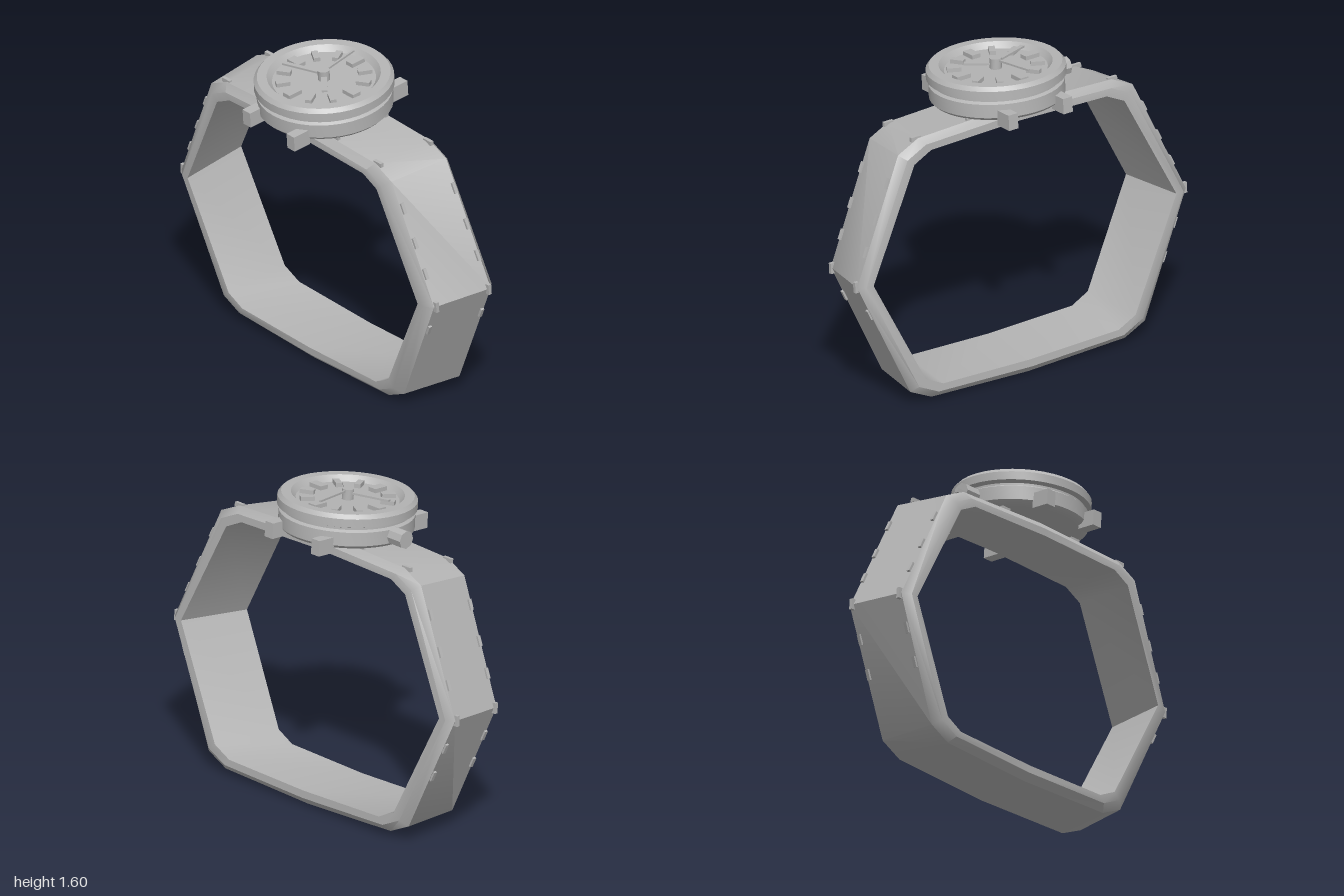
import * as THREE from 'three';
import { toCreasedNormals } from 'three/addons/utils/BufferGeometryUtils.js';

// Strap loop half-profiles (first quadrant): tip, shoulder, corner, middle
const OUTER = [[0.96, 0], [0.685, 0.615], [0.565, 0.672], [0, 0.692]];
const INNER = [[0.88, 0], [0.61, 0.555], [0.51, 0.605], [0, 0.618]];
const CASE_X = -0.025;

// The strap widens towards the back and leans a little sideways
function warp(x, y, z) {
  return new THREE.Vector3(CASE_X + x * (1 - 0.16 * z) - 0.05 * z, y * (1 - 0.08 * z), z);
}

// Mirrors a quadrant into a closed counter-clockwise loop
function fullLoop(q) {
  const upper = [...q, ...q.slice(0, 3).reverse().map(([x, y]) => [-x, y])];
  return [...upper, ...upper.slice(1, -1).reverse().map(([x, y]) => [x, -y])];
}

function strapGeometry() {
  const inner = fullLoop(INNER), outer = fullLoop(OUTER);
  // section corners: blend from inner to outer, depth
  const section = [[0, -0.19], [0, 0.19], [0.52, 0.19], [1, 0.157], [1, -0.157], [0.52, -0.19]];
  const pos = [], index = [], n = inner.length, m = section.length;
  inner.forEach(([ix, iy], i) => {
    const [ox, oy] = outer[i];
    for (const [t, z] of section) {
      pos.push(...warp(ix + (ox - ix) * t, iy + (oy - iy) * t, z).toArray());
    }
  });
  for (let i = 0; i < n; i++) {
    for (let j = 0; j < m; j++) {
      const a = i * m + j, b = i * m + (j + 1) % m;
      const c = ((i + 1) % n) * m + j, d = ((i + 1) % n) * m + (j + 1) % m;
      index.push(a, b, c, b, d, c);
    }
  }
  const g = new THREE.BufferGeometry();
  g.setAttribute('position', new THREE.Float32BufferAttribute(pos, 3));
  g.setIndex(index);
  return toCreasedNormals(g, 0.7);
}

export function createModel() {
  const grey = new THREE.MeshStandardMaterial({ color: 0xb4b4b4 });
  grey.name = 'grey';
  const model = new THREE.Group();
  model.name = 'wristwatch';

  const add = (parent, name, geometry, x = 0, y = 0, z = 0) => {
    const mesh = new THREE.Mesh(geometry, grey);
    mesh.name = name;
    mesh.position.set(x, y, z);
    parent.add(mesh);
    return mesh;
  };
  const box = (w, h, d) => new THREE.BoxGeometry(w, h, d);

  const body = new THREE.Group();
  body.name = 'body';
  body.position.set(0, 0.7, -0.06);
  body.rotation.set(0.075, -0.09, 0);
  model.add(body);

  // Strap and its stitches
  add(body, 'strap', strapGeometry());
  const stitches = new THREE.Group();
  stitches.name = 'stitches';
  body.add(stitches);
  const lean = Math.atan2(0.275, 0.615);
  for (const side of [-1, 1]) {
    const spots = [[0.25, 0.685, Math.PI / 2], [0.575, 0.67, Math.PI / 2], [0.96, 0, 0]];
    const heights = side > 0 ? [0.48, 0.31, 0.16, -0.16] : [0.48, 0.31, 0.16, -0.16, -0.32];
    for (const y of heights) {
      spots.push([0.96 - 0.275 * Math.abs(y) / 0.615, y, Math.sign(y) * lean]);
    }
    for (const [x, y, turn] of spots) {
      for (const z of [-0.145, 0.145]) {
        const p = warp(side * x, y, z);
        const stitch = add(stitches, 'stitch', box(0.022, 0.055, 0.018), p.x, p.y, p.z);
        stitch.rotation.z = side * turn;
      }
    }
  }

  // Case, bezel and recessed dial in one turned profile
  const watch = new THREE.Group();
  watch.name = 'watchHead';
  watch.position.x = CASE_X;
  body.add(watch);
  const profile = [
    [0, 0.69], [0.29, 0.69], [0.32, 0.7], [0.335, 0.715], [0.335, 0.785], [0.32, 0.795],
    [0.32, 0.806], [0.345, 0.815], [0.345, 0.857], [0.328, 0.877], [0.28, 0.877],
    [0.255, 0.848], [0, 0.848],
  ].map(([r, y]) => new THREE.Vector2(r, y));
  add(watch, 'caseAndDial', toCreasedNormals(new THREE.LatheGeometry(profile, 40), 0.5));

  // Lugs
  for (const x of [-0.163, 0.163]) {
    for (const z of [-0.32, 0.32]) add(watch, 'lug', box(0.055, 0.08, 0.1), x, 0.715, z);
  }

  // Winding crown
  const crown = add(watch, 'crown',
    toCreasedNormals(new THREE.CylinderGeometry(0.046, 0.046, 0.1, 8), 0.5), -0.37, 0.75, 0);
  crown.rotation.z = Math.PI / 2;

  // Hour markers
  for (let i = 0; i < 12; i++) {
    const a = i * Math.PI / 6, main = i % 3 === 0;
    const marker = add(watch, 'hourMarker', box(main ? 0.048 : 0.032, 0.024, main ? 0.08 : 0.07),
      Math.sin(a) * 0.205, 0.857, -Math.cos(a) * 0.205);
    marker.rotation.y = -a;
  }

  // Hands, each aimed along (x, z) on the dial
  const hand = (name, x, z, width, y) => {
    const length = Math.hypot(x, z);
    const g = box(width, 0.01, length).translate(0, 0, length / 2);
    add(watch, name, g, 0, y, 0).rotation.y = Math.atan2(x, z);
  };
  hand('hourHand', 0.12, 0.1, 0.028, 0.872);
  hand('minuteHand', -0.215, 0.075, 0.022, 0.882);
  hand('secondHand', -0.04, -0.23, 0.01, 0.892);
  add(watch, 'handHub',
    toCreasedNormals(new THREE.CylinderGeometry(0.03, 0.03, 0.055, 12), 0.6), 0, 0.874, 0);

  return model;
}
